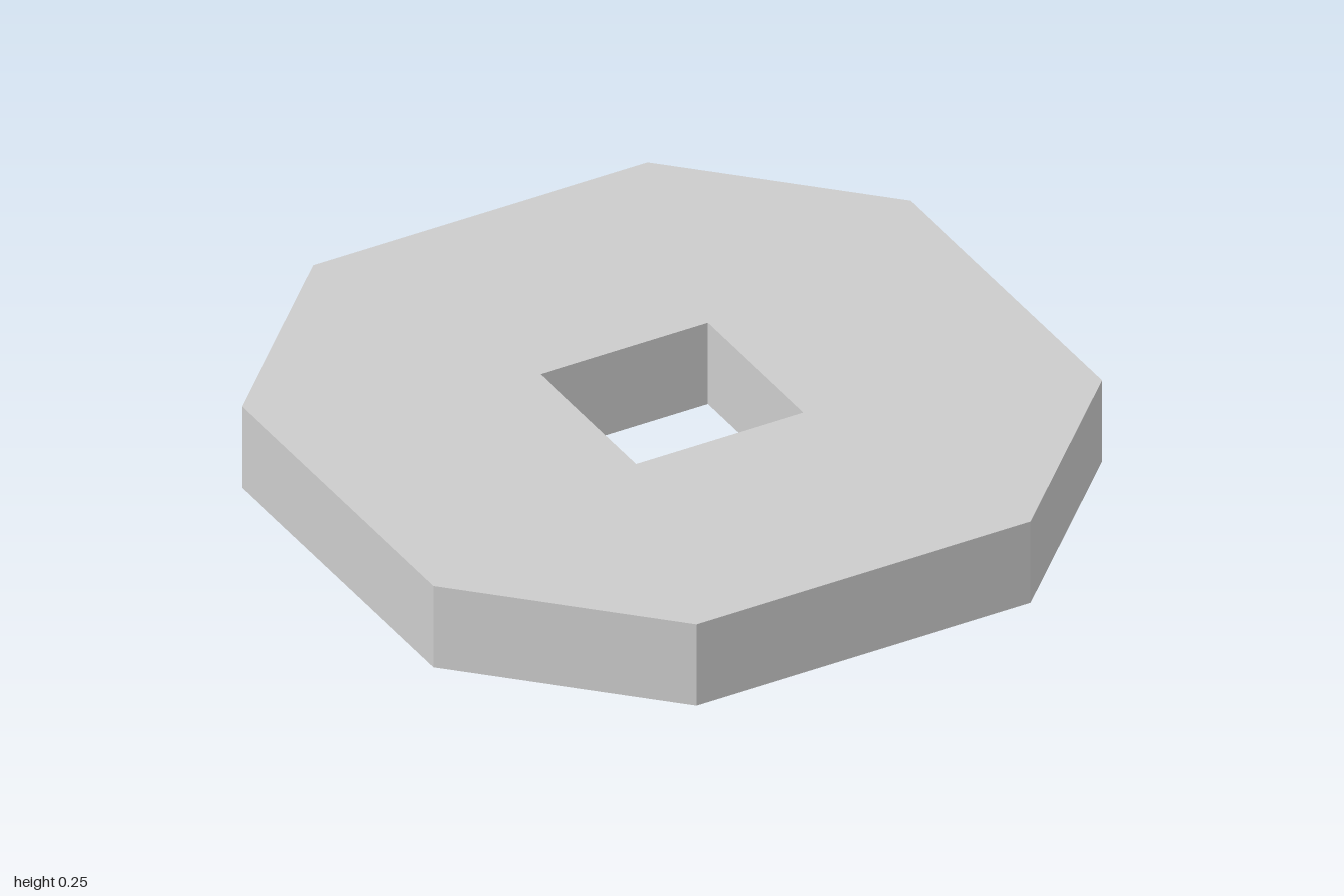
import * as THREE from 'three';

const HALF = 1;        // half width of the plate
const FLAT = 0.5;      // half length of each straight side
const HOLE = 0.25;     // half width of the square hole
const THICKNESS = 0.25;

const points = (list) => list.map(([x, y]) => new THREE.Vector2(x, y));

export function createModel() {
  const group = new THREE.Group();
  group.name = 'plateModel';

  // Square plate with cut corners
  const outline = new THREE.Shape(points([
    [FLAT, -HALF], [HALF, -FLAT], [HALF, FLAT], [FLAT, HALF],
    [-FLAT, HALF], [-HALF, FLAT], [-HALF, -FLAT], [-FLAT, -HALF],
  ]));

  // Square hole through the centre
  outline.holes.push(new THREE.Path(points([
    [-HOLE, -HOLE], [-HOLE, HOLE], [HOLE, HOLE], [HOLE, -HOLE],
  ])));

  // Extrude, then lay flat on the ground
  const geometry = new THREE.ExtrudeGeometry(outline, { depth: THICKNESS, bevelEnabled: false });
  geometry.rotateX(-Math.PI / 2);

  const plate = new THREE.Mesh(
    geometry,
    new THREE.MeshStandardMaterial({ color: 0xcccccc, flatShading: true }),
  );
  plate.name = 'octagonalPlate';
  group.add(plate);
  return group;
}
